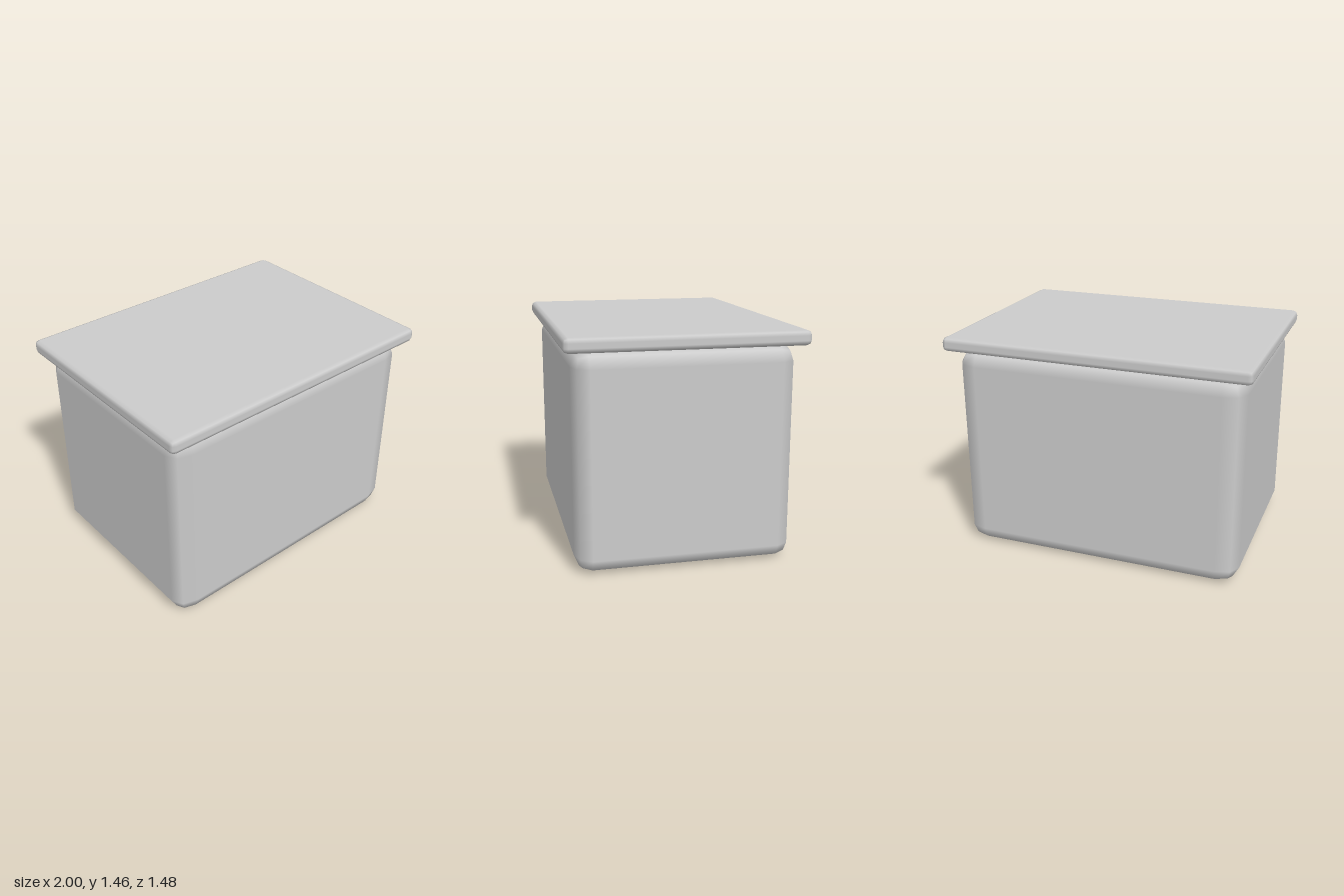
import * as THREE from 'three';
import { RoundedBoxGeometry } from 'three/addons/geometries/RoundedBoxGeometry.js';

const material = new THREE.MeshStandardMaterial({ color: 0xcccccc });

// Box with two-step rounded edges, standing with its base at height y
function addBox(group, name, geometry, height, y) {
  const mesh = new THREE.Mesh(geometry, material);
  mesh.name = name;
  mesh.position.y = y + height / 2;
  group.add(mesh);
}

export function createModel() {
  const group = new THREE.Group();
  group.name = 'lidded box';

  // Body: a rounded unit cube stretched to size, so its rounding is wider along x
  const body = new RoundedBoxGeometry(1, 1, 1, 1, 0.074);
  body.scale(1.898, 1.364, 1.369);
  addBox(group, 'body', body, 1.364, 0);

  // Lid: thin overhanging slab with a small rounded rim
  addBox(group, 'lid', new RoundedBoxGeometry(2, 0.092, 1.48, 1, 0.031), 0.092, 1.365);

  return group;
}
